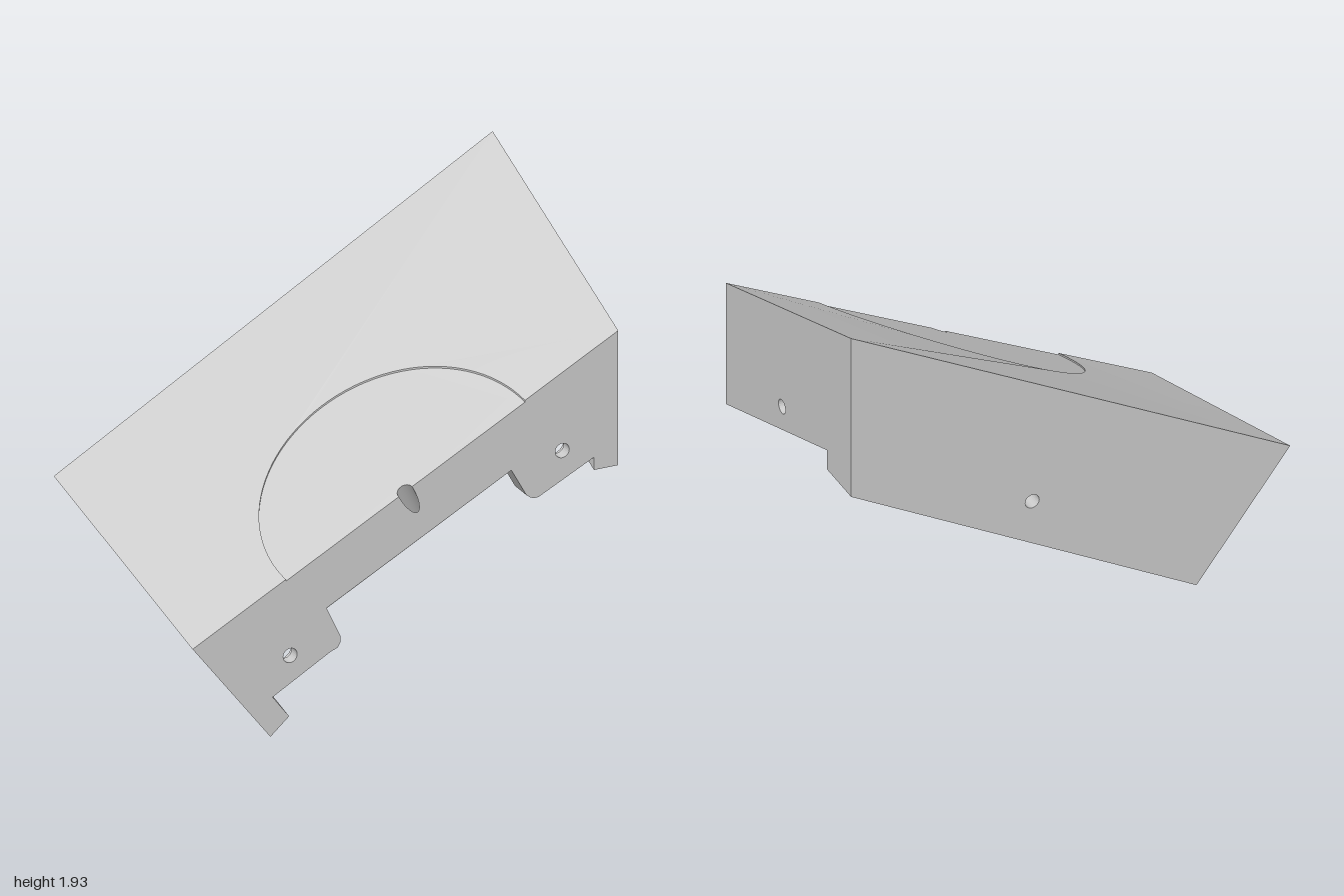
import * as THREE from 'three';

const material = new THREE.MeshStandardMaterial({ color: 0xcccccc, side: THREE.DoubleSide });
const v = (x, y, z) => new THREE.Vector3(x, y, z);
const Z = 0.575, ZI = -0.355, LUG = 0.47;

// Mesh from points and triangle indices, each face keeping its own normals
function build(name, pts, index) {
  const g = new THREE.BufferGeometry().setFromPoints(pts);
  g.setIndex(index);
  g.computeVertexNormals();
  const mesh = new THREE.Mesh(g, material);
  mesh.name = name;
  return mesh;
}

// Polygon in space, counter-clockwise from outside, with optional hole loops
function face(name, pts, holes = []) {
  const n = v(0, 0, 0);
  pts.forEach((p, i) => n.add(v(0, 0, 0).crossVectors(p, pts[(i + 1) % pts.length])));
  n.normalize();
  const q = new THREE.Quaternion().setFromUnitVectors(n, v(0, 0, 1));
  const flat = (list) => list.map((p) => {
    const r = p.clone().applyQuaternion(q);
    return new THREE.Vector2(r.x, r.y);
  });
  const tris = THREE.ShapeUtils.triangulateShape(flat(pts), holes.map(flat));
  return build(name, [...pts, ...holes.flat()], tris.flat());
}

// Strip of quads joining two rows of points
function strip(name, a, b) {
  const index = [];
  const n = a.length;
  for (let i = 0; i < n - 1; i++) index.push(i, n + i, i + 1, i + 1, n + i, n + i + 1);
  return build(name, [...a, ...b], index);
}

// Points round a circle
function arc(c, e1, e2, r, from = 0, to = Math.PI * 2, steps = 24) {
  return Array.from({ length: steps + 1 }, (_, i) => {
    const t = from + (to - from) * i / steps;
    return c.clone().addScaledVector(e1, r * Math.cos(t)).addScaledVector(e2, r * Math.sin(t));
  });
}

function ring(c, axis, r) {
  const e1 = v(0, 1, 0).cross(axis).normalize();
  return arc(c, e1, axis.clone().cross(e1), r).slice(0, -1);
}

// Counterbored screw hole from the inner face to the outer face
function bore(inner, outer, r = 0.032, R = 0.06) {
  const axis = outer.clone().sub(inner);
  const len = axis.length();
  axis.normalize();
  const profile = [[R, 0], [R, len / 2], [r, len / 2], [r, len]].map((p) => new THREE.Vector2(...p));
  const geo = new THREE.LatheGeometry(profile, 24).toNonIndexed();
  geo.computeVertexNormals();
  const mesh = new THREE.Mesh(geo, material);
  mesh.name = 'screwHole';
  mesh.position.copy(inner);
  mesh.quaternion.setFromUnitVectors(v(0, 1, 0), axis);
  return { mesh, inner: ring(inner, axis, R), outer: ring(outer, axis, r) };
}

// Height of the slightly twisted top surface
function topY(x, z) {
  const t = (Z - z) / (2 * Z), xl = -0.94 - 0.06 * t, u = (x - xl) / (1 - xl);
  return (0.46 + 1.04 * u) * (1 - t) + (0.79 + 1.145 * u) * t;
}

export function createModel() {
  const group = new THREE.Group();
  const add = (...m) => group.add(...m);

  // Outer corners
  const FL = v(-0.94, 0.46, Z), FR = v(1, 1.5, Z), BR = v(1, 1.935, -Z), BL = v(-1, 0.79, -Z);
  const leftTip = v(-0.585, 0, Z), leftTipIn = v(-0.5, 0.075, Z);
  const leftEnd = v(-0.637, 0.275, ZI), leftEndIn = v(-0.552, 0.345, ZI);
  const backL = v(-0.573, 0.23, -Z), backLI = v(-0.585, 0.21, ZI);
  const backR = v(1, 1.15, -Z), backRI = v(1, 1.15, ZI);
  const rightF = v(1, 0.9, Z), rightFI = v(0.89, 0.9, Z);
  const rightB = v(1, 1.245, ZI), rightBI = v(0.89, 1.245, ZI);
  // Ceiling corners of the cavity
  const cFL = v(-0.69, 0.33, Z), cFR = v(0.89, 1.174, Z);
  const cBR = v(0.89, 1.526, ZI), cBL = v(-0.742, 0.6, ZI);

  // Screw holes through walls and lugs
  const holes = {
    left: bore(v(-0.595, 0.31, 0.06), v(-0.683, 0.243, 0.046)),
    right: bore(v(0.89, 1.205, 0.06), v(1, 1.205, 0.06)),
    back: bore(v(0.175, 0.875, ZI), v(0.175, 0.875, -Z)),
    lugA: bore(v(-0.495, 0.345, LUG), v(-0.495, 0.345, Z)),
    lugB: bore(v(0.745, 1.015, LUG), v(0.745, 1.015, Z)),
  };
  Object.values(holes).forEach((h) => add(h.mesh));

  // Round shallow pocket in the top, and a drilled hole on its centre
  const n = v(-0.55, 1, 0.36).normalize();
  const e1 = v(1, 0.55, 0).normalize(), e2 = n.clone().cross(e1);
  const centre = v(0.03, topY(0.03, Z), Z);
  const rim = arc(centre, e1, e2, 0.622, Math.PI, 0, 48);
  rim.forEach((p) => { p.y = topY(p.x, p.z); });
  const sunk = rim.map((p) => p.clone().setY(p.y - 0.008));
  const drill = arc(centre.clone().setY(centre.y - 0.008), e1, e2, 0.035);
  const drillEnd = drill.map((p) => p.clone().addScaledVector(n, -0.22));
  const drillStart = drill.map((p) => p.clone().addScaledVector(n, -Math.max(0, (p.z - Z) / n.z)));
  add(
    face('top', [FL, ...rim, FR, BR, BL]),
    face('pocketFloor', [...sunk, ...drillStart.slice(0, 13)]),
    strip('pocketStep', rim, sunk),
    strip('drilledHole', drillStart, drillEnd),
  );

  // Lug outlines, seen from the front
  const lugA = [[-0.6, 0.161], [-0.31, 0.326], [-0.28, 0.337], [-0.265, 0.36], [-0.267, 0.39], [-0.33, 0.524]];
  const lugB = [[0.513, 0.973], [0.572, 0.866], [0.582, 0.848], [0.6, 0.834], [0.618, 0.828], [0.636, 0.829], [0.89, 0.957]];
  const at = (list, z) => list.map(([x, y]) => v(x, y, z));

  // Front face including both lugs and the drilled notch
  add(face('front', [
    FL, leftTip, leftTipIn, v(-0.575, 0.175, Z), ...at(lugA.slice(1), Z), ...at(lugB, Z),
    rightFI, rightF, FR, rim[48], sunk[48],
    ...drillStart.slice(12).reverse(), sunk[0], rim[0],
  ], [holes.lugA.outer, holes.lugB.outer]));
  add(
    strip('leftLugEdge', at(lugA, Z), at(lugA, LUG)),
    strip('rightLugEdge', at(lugB, Z), at(lugB, LUG)),
    face('leftLugBack', at([...lugA, [-0.34, 0.555], [-0.7, 0.36]], LUG).reverse(), [holes.lugA.inner]),
    face('rightLugBack', at([...lugB, [0.89, 1.214], [0.495, 1.003]], LUG).reverse(), [holes.lugB.inner]),
  );

  // Outer walls
  add(
    face('leftWall', [FL, BL, backL, backLI, leftEnd, leftTip], [holes.left.outer]),
    face('rightWall', [FR, rightF, rightB, backRI, backR, BR], [holes.right.outer]),
    face('backWall', [BL, BR, backR, backL], [holes.back.outer]),
  );

  // Bottom edges of the walls
  add(
    face('leftWallBottom', [leftTip, leftEnd, leftEndIn, leftTipIn]),
    face('rightWallBottom', [rightFI, rightBI, rightB, rightF]),
    face('backWallBottom', [backLI, backL, backR, backRI]),
  );

  // Inside of the cavity, open at the front
  add(
    face('ceiling', [cFL, cBL, cBR, cFR], [drillEnd.slice(0, -1)]),
    face('leftWallInside', [leftTipIn, leftEndIn, cBL, cFL], [holes.left.inner]),
    face('rightWallInside', [rightFI, cFR, cBR, rightBI], [holes.right.inner]),
    face('backWallInside', [backLI, backRI, rightB, rightBI, cBR, cBL, leftEndIn, leftEnd], [holes.back.inner]),
  );
  return group;
}
